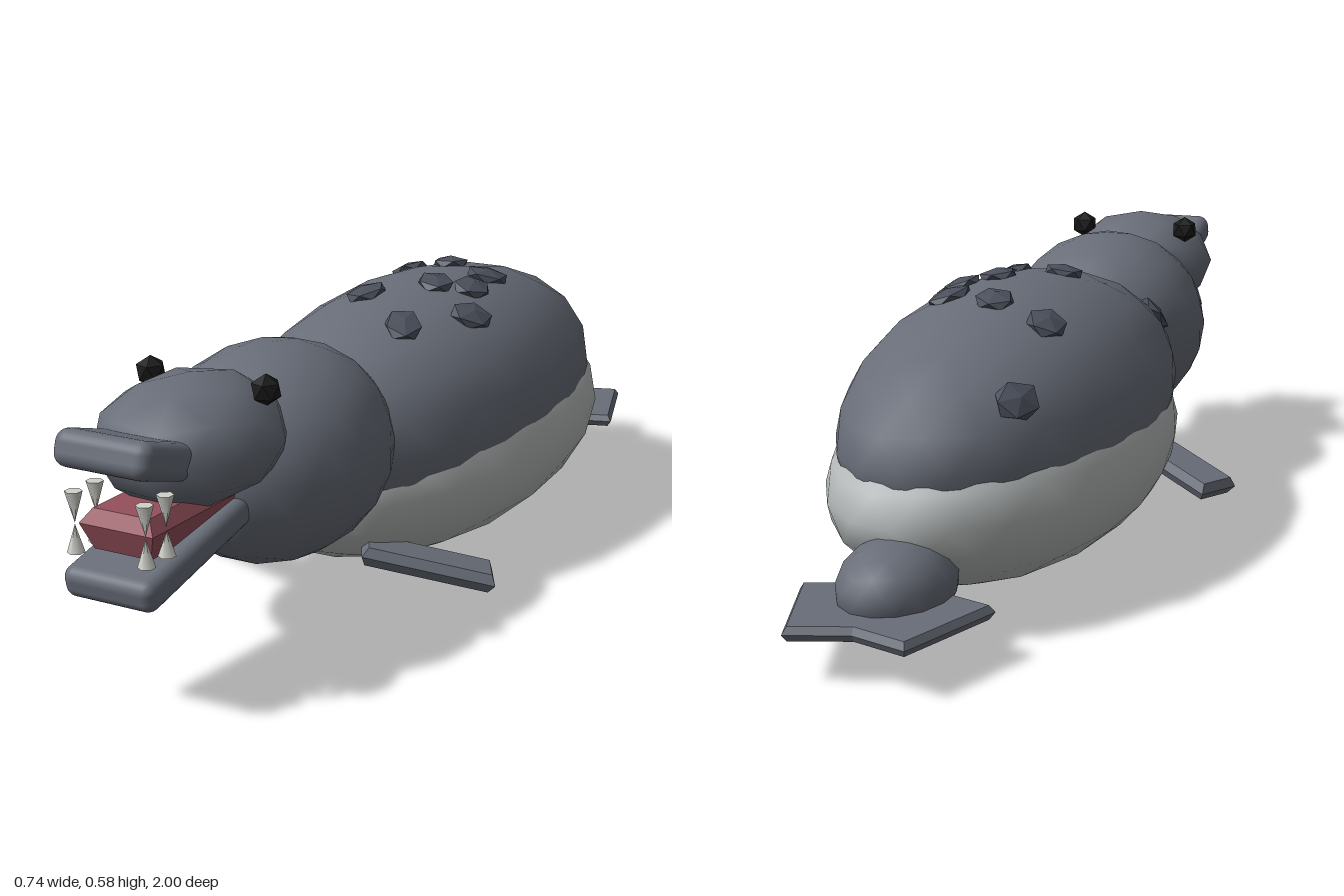
import * as THREE from 'three';
import { RoundedBoxGeometry } from 'three/addons/geometries/RoundedBoxGeometry.js';

const mat = (name, color) => {
  const m = new THREE.MeshStandardMaterial({ color });
  m.name = name;
  return m;
};

// Icosphere standing on a vertex; smooth when subdivided, faceted at detail 0
function ico(detail, rx, ry, rz) {
  const g = new THREE.IcosahedronGeometry(1, detail);
  g.rotateX(-Math.atan((1 + Math.sqrt(5)) / 2));
  g.rotateY(Math.PI / 2);
  return g.scale(rx, ry, rz);
}

// Faceted box with its four long and cross edges chamfered above and below a wide middle
function chamferBox(w, h, d, inset, mid = 0) {
  const k = Math.SQRT2;
  const pts = [[0, -h / 2], [0.5 * k, -h / 2], [0.5 * k, mid], [0.5 * k, h / 2], [0, h / 2]];
  let g = new THREE.LatheGeometry(pts.map(p => new THREE.Vector2(...p)), 4);
  g.rotateY(Math.PI / 4);
  const p = g.attributes.position;
  for (let i = 0; i < p.count; i++) {
    const edge = Math.abs(p.getY(i) - mid) > 1e-5 ? inset * 2 : 0;
    p.setX(i, p.getX(i) * (w - edge));
    p.setZ(i, p.getZ(i) * (d - edge));
  }
  g = g.toNonIndexed();
  g.computeVertexNormals();
  return g;
}

export function createModel() {
  const group = new THREE.Group();
  group.name = 'seal';
  const hide = mat('slate hide', 0x686d78);
  const pale = mat('pale belly', 0xb6baba);
  const spotMat = mat('dark spots', 0x4b505c);
  const red = mat('mouth red', 0x96505c);
  const ivory = mat('tooth ivory', 0xd2d2cc);
  const black = mat('eye black', 0x1a1a1a);

  const add = (name, geometry, material, x, y, z) => {
    const m = new THREE.Mesh(geometry, material);
    m.name = name;
    m.position.set(x, y, z);
    group.add(m);
    return m;
  };

  // Torso: dark back over a pale belly, then neck, head and tail stump
  const B = { y: 0.312, z: -0.15, rx: 0.292, ry: 0.255, rz: 0.61 };
  add('back', ico(3, B.rx, B.ry, B.rz), hide, 0, B.y, B.z);
  add('belly', ico(3, 0.305, 0.222, 0.615), pale, 0, 0.224, -0.175);
  add('neck', ico(3, 0.222, 0.213, 0.27), hide, 0, 0.352, 0.45);
  add('head', ico(1, 0.168, 0.12, 0.2), hide, 0, 0.455, 0.72);
  add('tailStump', ico(2, 0.105, 0.085, 0.145), hide, 0, 0.125, -0.765);

  // Muzzle, jaw and mouth lining
  const snout = add('snout', new RoundedBoxGeometry(0.2, 0.068, 0.17, 3, 0.025), hide, 0, 0.478, 0.916);
  snout.rotation.x = -0.3;
  const jaw = add('lowerJaw', new RoundedBoxGeometry(0.19, 0.06, 0.36, 3, 0.022), hide, 0, 0.288, 0.815);
  jaw.rotation.x = 0.22;
  add('mouth', chamferBox(0.155, 0.075, 0.3, 0.018, 0.012), red, 0, 0.341, 0.805);

  for (const s of [-1, 1]) {
    // Teeth in pairs, tips meeting
    for (const z of [0.97, 0.91]) {
      const upper = add('upperTooth', new THREE.ConeGeometry(0.016, 0.058, 6), ivory, s * 0.074, 0.388, z);
      upper.rotation.x = Math.PI;
      add('lowerTooth', new THREE.ConeGeometry(0.016, 0.052, 6), ivory, s * 0.074, 0.331, z);
    }

    add('eye', ico(0, 0.03, 0.03, 0.03), black, s * 0.124, 0.545, 0.665);

    // Front flipper swept out, back and down
    const along = new THREE.Vector3(s * 0.84, -0.24, -0.49).normalize();
    const side = new THREE.Vector3(0, 1, 0).cross(along).normalize();
    const up = along.clone().cross(side);
    const flipper = add('frontFlipper', chamferBox(0.1, 0.038, 0.27, 0.01), hide, s * 0.23, 0.093, 0.25);
    flipper.quaternion.setFromRotationMatrix(new THREE.Matrix4().makeBasis(side, up, along));

    // Tail flipper
    const tail = add('tailFlipper', chamferBox(0.15, 0.027, 0.24, 0.008), hide, s * 0.08, 0.094, -0.863);
    tail.rotation.y = s * 0.32;
  }

  // Flattened spots lying on the back: x, z
  const spots = [[-0.16, -0.58], [-0.135, -0.35], [-0.02, -0.325], [0.09, -0.285], [0.11, -0.17],
    [0.05, -0.12], [0.165, -0.06], [-0.05, 0], [0.095, 0.105], [-0.165, 0.28]];
  spots.forEach(([x, z], i) => {
    const dz = z - B.z;
    const h = B.ry * Math.sqrt(1 - (x / B.rx) ** 2 - (dz / B.rz) ** 2);
    const normal = new THREE.Vector3(x / B.rx ** 2, h / B.ry ** 2, dz / B.rz ** 2).normalize();
    const spot = add('spot', ico(0, 0.042, 0.016, 0.056), spotMat, x, B.y + h, z);
    spot.quaternion.setFromUnitVectors(new THREE.Vector3(0, 1, 0), normal);
    spot.rotateY((i % 3 - 1) * 0.35);
  });

  return group;
}
